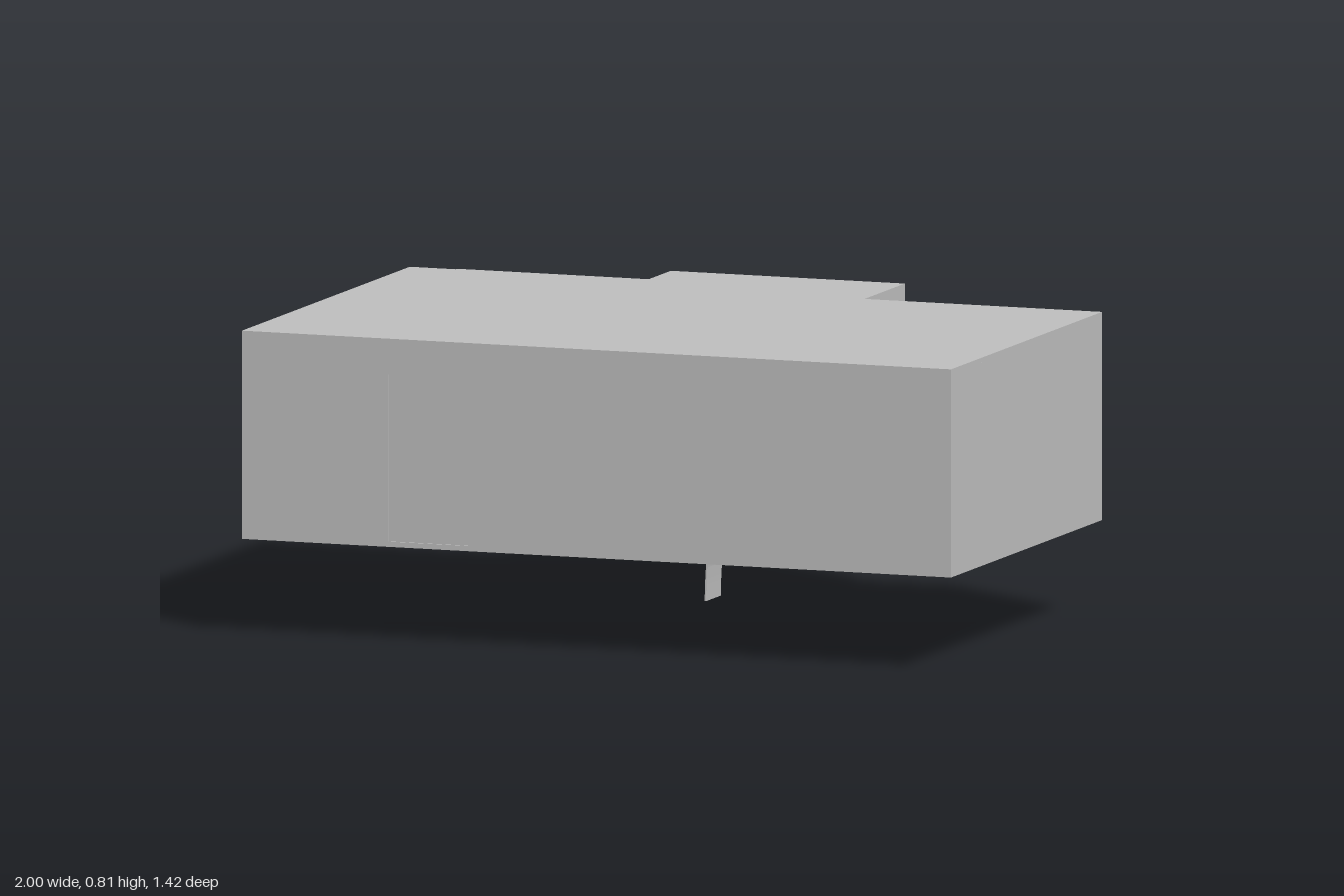
import * as THREE from 'three';

export function createModel() {
  const model = new THREE.Group();
  const grey = new THREE.MeshStandardMaterial({ color: 0xbfbfbf });
  grey.name = 'plain grey';
  const cloth = new THREE.MeshStandardMaterial({ color: 0xbfbfbf, side: THREE.DoubleSide });
  cloth.name = 'cloth grey';

  const add = (name, geometry, material = grey, parent = model) => {
    const mesh = new THREE.Mesh(geometry, material);
    mesh.name = name;
    parent.add(mesh);
    return mesh;
  };
  // Box given by its limits
  const box = (name, x0, x1, y0, y1, z0, z1, parent = model) => {
    const g = new THREE.BoxGeometry(x1 - x0, y1 - y0, z1 - z0);
    g.translate((x0 + x1) / 2, (y0 + y1) / 2, (z0 + z1) / 2);
    return add(name, g, grey, parent);
  };
  const rect = (x0, x1, y0, y1, Type = THREE.Shape) => new Type([
    new THREE.Vector2(x0, y0), new THREE.Vector2(x1, y0),
    new THREE.Vector2(x1, y1), new THREE.Vector2(x0, y1)]);

  const bottom = 0.255, floorTop = 0.268, top = 0.81, ceiling = 0.797, t = 0.05;

  // Wall facing front or back, with rectangular openings
  const wall = (name, x0, x1, z0, depth, holes = []) => {
    const s = rect(x0, x1, floorTop, ceiling);
    holes.forEach(h => s.holes.push(rect(...h, THREE.Path)));
    const g = new THREE.ExtrudeGeometry(s, { depth, bevelEnabled: false });
    g.translate(0, 0, z0);
    add(name, g);
  };

  // Floor and roof slabs share the stepped footprint
  const outline = [[-1, 0.71], [1, 0.71], [1, -0.415], [0.33, -0.415], [0.33, -0.715],
    [-0.33, -0.715], [-0.33, -0.55], [-0.87, -0.55], [-0.87, -0.54], [-1, -0.54]];
  const slab = (name, y0, y1) => {
    const s = new THREE.Shape(outline.map(p => new THREE.Vector2(...p)));
    const g = new THREE.ExtrudeGeometry(s, { depth: y1 - y0, bevelEnabled: false });
    g.rotateX(Math.PI / 2).translate(0, y1, 0);
    add(name, g);
  };
  slab('floorSlab', bottom, floorTop);
  slab('roofSlab', ceiling, top);

  // Outer walls
  const bedroomWindow = [-0.146, 0.15, 0.475, 0.725];
  const sideWindow = [0.42, 0.712, 0.475, 0.722];
  wall('frontWall', -1, 1, 0.71 - t, t, [[-0.588, -0.363, floorTop + 0.001, 0.715]]);
  wall('bayBackWall', -0.33, 0.33, -0.715, t, [bedroomWindow]);
  wall('leftBackWall', 0.33, 1, -0.415, t, [sideWindow]);
  box('rightWall', -1, -1 + t, floorTop, ceiling, -0.54 + t, 0.71 - t);
  box('leftWall', 1 - t, 1, floorTop, ceiling, -0.415 + t, 0.71 - t);
  box('bayRightWall', -0.33, -0.33 + t, floorTop, ceiling, -0.715 + t, -0.1);
  box('bayLeftWall', 0.33 - t, 0.33, floorTop, ceiling, -0.715 + t, -0.1);

  // Entrance door, set slightly back
  box('frontDoor', -0.588, -0.363, floorTop, 0.715, 0.67, 0.705);

  // Window frames inside the openings
  const frame = (name, [x0, x1, y0, y1], z) => {
    const s = rect(x0, x1, y0, y1);
    s.holes.push(rect(x0 + 0.014, x1 - 0.014, y0 + 0.014, y1 - 0.025, THREE.Path));
    const g = new THREE.ExtrudeGeometry(s, { depth: 0.018, bevelEnabled: false });
    g.translate(0, 0, z);
    add(name, g);
  };
  frame('bedroomWindowFrame', bedroomWindow, -0.692);
  frame('sideWindowFrame', sideWindow, -0.392);

  // Balcony: column, parapet, beam, railing and the wall behind
  box('balconyColumn', -1, -0.87, floorTop, ceiling, -0.54, -0.54 + t);
  box('balconyParapet', -0.87, -0.33, floorTop, 0.47, -0.55, -0.51);
  box('balconyBeam', -0.87, -0.33, 0.76, ceiling, -0.55, -0.51);
  const railing = new THREE.Group();
  railing.name = 'balconyRailing';
  model.add(railing);
  box('topRail', -0.87, -0.33, 0.562, 0.577, -0.542, -0.522, railing);
  box('lowerRail', -0.87, -0.33, 0.482, 0.489, -0.537, -0.527, railing);
  for (let i = 0; i < 24; i++) {
    const x = -0.859 + i * 0.0225;
    box('railBar', x - 0.004, x + 0.004, 0.47, 0.562, -0.536, -0.528, railing);
  }
  wall('balconyInnerWall', -0.95, -0.33, -0.3, 0.03, [[-0.9, -0.72, 0.27, 0.72], [-0.5, -0.42, 0.27, 0.72]]);

  // Room partitions
  wall('bedroomPartition', -0.33, 0.33, -0.1, 0.03, [[-0.27, -0.1, 0.27, 0.7]]);
  box('roomPartition', 0.33, 0.36, floorTop, ceiling, -0.07, 0.3);

  // Bed below the bay window
  const bed = new THREE.Group();
  bed.name = 'bed';
  model.add(bed);
  box('bedBase', -0.1, 0.26, floorTop, 0.34, -0.62, -0.14, bed);
  box('mattress', -0.09, 0.25, 0.34, 0.4, -0.61, -0.15, bed);
  box('headboard', 0.26, 0.28, floorTop, 0.5, -0.62, -0.14, bed);
  for (const z of [-0.5, -0.26]) {
    const pillow = new THREE.SphereGeometry(1, 16, 10);
    pillow.scale(0.06, 0.025, 0.09).translate(0.18, 0.415, z);
    add('pillow', pillow, grey, bed);
  }

  // Sofa in the side room
  const sofa = new THREE.Group();
  sofa.name = 'sofa';
  model.add(sofa);
  box('sofaSeat', 0.47, 0.66, floorTop, 0.36, -0.26, 0.12, sofa);
  box('sofaBack', 0.66, 0.72, floorTop, 0.48, -0.26, 0.12, sofa);
  for (const z of [-0.3, 0.12]) box('sofaArm', 0.47, 0.72, floorTop, 0.42, z, z + 0.04, sofa);

  // Curved cloth hanging under the floor
  const curve = new THREE.CatmullRomCurve3([[-0.075, 0], [-0.073, 0.06], [-0.068, 0.12],
    [-0.054, 0.18], [-0.034, 0.215], [-0.012, 0.231], [0.006, 0.235]]
    .map(([x, y]) => new THREE.Vector3(x, y, 0)));
  const spine = curve.getPoints(24).map(p => new THREE.Vector2(p.x, p.y));
  const inner = spine.map(p => new THREE.Vector2(p.x + 0.004, p.y - (p.y > 0.1 ? 0.004 : 0))).reverse();
  const drape = new THREE.ExtrudeGeometry(new THREE.Shape([...spine, ...inner]),
    { depth: 0.11, bevelEnabled: false });
  drape.translate(0, 0, -0.403);
  add('hangingCloth', drape, cloth);

  // Sagging cover edge under the side room, profile in z and y
  const sag = new THREE.Shape([[0.143, 0.26], [0.135, 0.215], [0.122, 0.192], [0.108, 0.2],
    [0, 0.199], [-0.18, 0.193], [-0.275, 0.189], [-0.285, 0.2], [-0.285, 0.26]]
    .map(p => new THREE.Vector2(...p)));
  const cover = new THREE.ExtrudeGeometry(sag, { depth: 0.026, bevelEnabled: true,
    bevelThickness: 0.008, bevelSize: 0.006, bevelOffset: -0.006, bevelSegments: 3 });
  cover.rotateY(-Math.PI / 2).translate(0.498, 0, 0);
  add('coverEdge', cover, cloth);

  return model;
}
